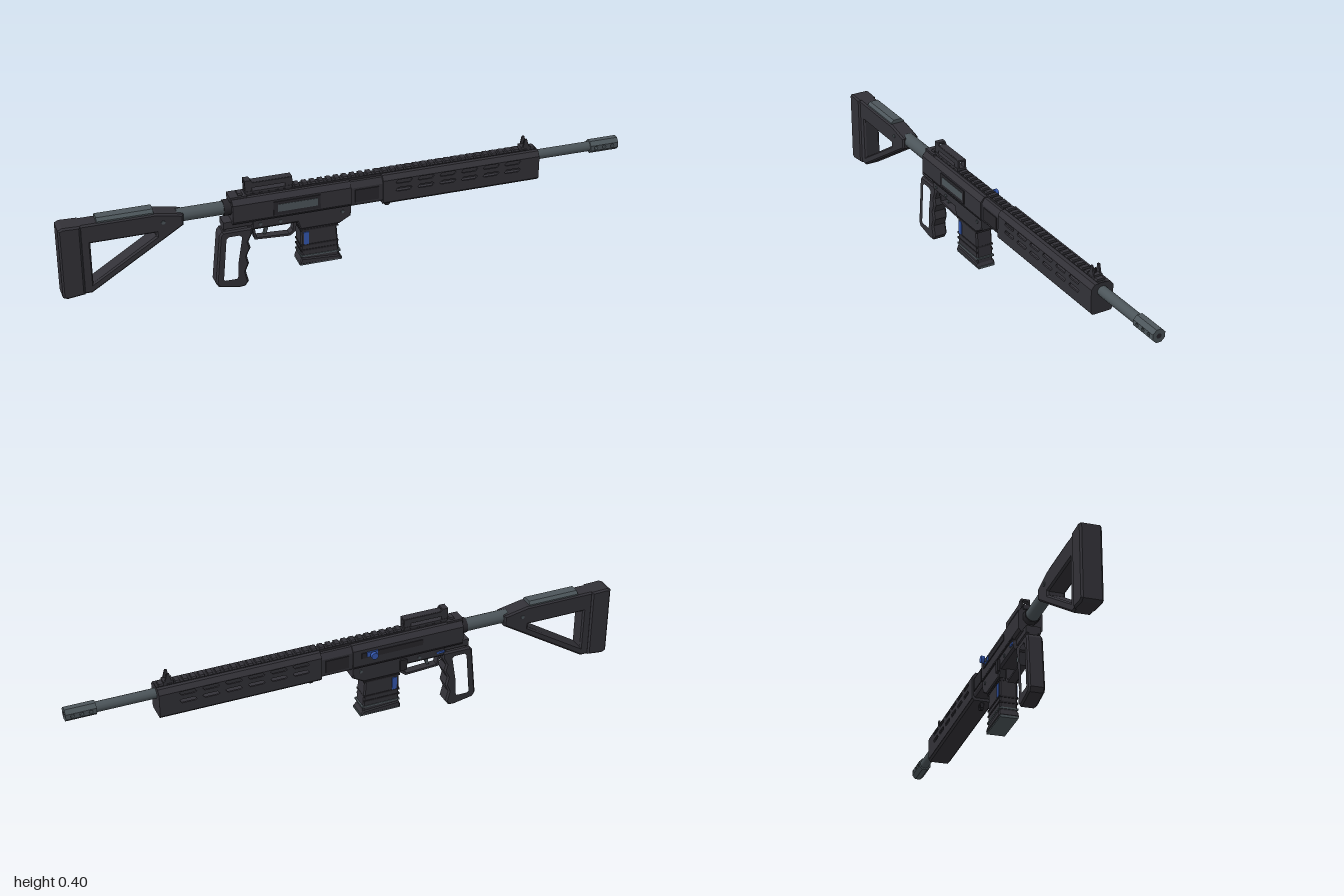
import * as THREE from 'three';

const dark = new THREE.MeshStandardMaterial({ color: 0x323137, name: 'darkPolymer' });
const black = new THREE.MeshStandardMaterial({ color: 0x27262b, name: 'blackMetal' });
const steel = new THREE.MeshStandardMaterial({ color: 0x4c555a, name: 'greySteel' });
const blue = new THREE.MeshStandardMaterial({ color: 0x3458b0, name: 'blueControls' });

const shapeOf = (pts) => new THREE.Shape(pts.map(([a, b]) => new THREE.Vector2(a, b)));
const pathOf = (pts) => new THREE.Path(pts.map(([a, b]) => new THREE.Vector2(a, b)));

export function createModel() {
  const model = new THREE.Group();
  // Everything is symmetric about a centre plane slightly in front of z = 0
  const body = new THREE.Group();
  body.name = 'rifle';
  body.position.z = 0.01;
  model.add(body);

  const add = (name, geo, mat, x = 0, y = 0, z = 0) => {
    const m = new THREE.Mesh(geo, mat);
    m.name = name;
    m.position.set(x, y, z);
    body.add(m);
    return m;
  };
  // Box given by its x and y ranges, centre z and depth
  const box = (name, x0, x1, y0, y1, d, mat = dark, z = 0) =>
    add(name, new THREE.BoxGeometry(x1 - x0, y1 - y0, d), mat, (x0 + x1) / 2, (y0 + y1) / 2, z);
  // Side outline extruded across z, with optional holes and bevelled edges
  const plate = (name, pts, d, mat = dark, holes = [], bevel = 0, z = 0) => {
    const s = shapeOf(pts);
    holes.forEach((h) => s.holes.push(h instanceof THREE.Path ? h : pathOf(h)));
    const g = new THREE.ExtrudeGeometry(s, {
      depth: d - 2 * bevel, bevelEnabled: bevel > 0, bevelSize: bevel, bevelThickness: bevel,
      bevelOffset: -bevel, bevelSegments: 1, curveSegments: 5,
    });
    g.translate(0, 0, z - d / 2 + bevel);
    return add(name, g, mat);
  };
  // Symmetric cross-section (half width, y) extruded along x
  const prism = (name, half, x0, x1, mat = dark) => {
    const pts = [...half, ...half.slice().reverse().map(([w, y]) => [-w, y])];
    const g = new THREE.ExtrudeGeometry(shapeOf(pts), { depth: x1 - x0, bevelEnabled: false });
    g.rotateY(Math.PI / 2);
    return add(name, g, mat, x0);
  };
  // Cylinder along x
  const rod = (name, x0, x1, y, r, mat, sides = 12) => {
    const g = new THREE.CylinderGeometry(r, r, x1 - x0, sides);
    g.rotateY(Math.PI / sides).rotateZ(Math.PI / 2);
    return add(name, g, mat, (x0 + x1) / 2, y);
  };

  // Shoulder stock
  plate('buttPad', [[-1, 0.08], [-0.985, 0.073], [-0.925, 0.08], [-0.925, 0.34], [-0.985, 0.342], [-1, 0.335]], 0.072, dark, [], 0.006);
  plate('stockFrame',
    [[-0.93, 0.08], [-0.9, 0.08], [-0.58, 0.282], [-0.58, 0.322], [-0.67, 0.34], [-0.93, 0.34]], 0.062, dark,
    [[[-0.895, 0.115], [-0.895, 0.268], [-0.675, 0.268], [-0.675, 0.255]]], 0.006);
  prism('cheekRest', [[0.026, 0.336], [0.026, 0.344], [0.016, 0.354]], -0.87, -0.68, steel);
  for (const s of [-1, 1]) {
    const pin = add('stockPin', new THREE.CylinderGeometry(0.007, 0.007, 0.004, 8), steel, -0.65, 0.305, s * 0.032);
    pin.rotation.x = Math.PI / 2;
  }
  rod('bufferTube', -0.6, -0.41, 0.307, 0.024, steel);
  rod('tubeCollar', -0.44, -0.41, 0.307, 0.028, black, 8);

  // Receiver
  prism('upperReceiver', [[0.034, 0.255], [0.041, 0.265], [0.041, 0.328], [0.026, 0.345]], -0.415, 0);
  prism('lowerReceiver', [[0.03, 0.222], [0.037, 0.23], [0.037, 0.262]], -0.345, 0);
  box('receiverRearTang', -0.445, -0.33, 0.237, 0.262, 0.05);
  plate('magazineWell', [[-0.19, 0.225], [-0.18, 0.195], [-0.04, 0.195], [0, 0.218], [0, 0.235], [-0.19, 0.235]], 0.074, dark, [], 0.004);
  box('rearTopBlock', -0.42, -0.36, 0.335, 0.352, 0.05);
  box('portFrame', -0.275, -0.11, 0.272, 0.322, 0.008, black, 0.041);
  box('ejectionPort', -0.26, -0.12, 0.284, 0.312, 0.006, steel, 0.0435);
  box('boltSlot', -0.26, -0.03, 0.295, 0.316, 0.006, black, -0.041);
  box('boltCatch', -0.2, -0.175, 0.21, 0.252, 0.008, black, -0.042);
  box('receiverSeam', -0.345, 0, 0.259, 0.263, 0.083, black);

  // Bolt handle
  const handle = (name, r, z0, z1, mat) => {
    const h = add(name, new THREE.CylinderGeometry(r, r, z1 - z0, 10), mat, -0.07, 0.309, (z0 + z1) / 2);
    h.rotation.x = Math.PI / 2;
  };
  handle('boltHandleStem', 0.007, -0.055, -0.035, steel);
  handle('boltHandleKnob', 0.013, -0.066, -0.054, blue);
  box('boltCarrier', -0.09, -0.05, 0.3, 0.317, 0.006, blue, -0.043);

  // Selector levers and pins
  box('selectorLever', -0.345, -0.315, 0.24, 0.248, 0.008, blue, -0.037);
  for (const [x, y] of [[-0.32, 0.243], [-0.25, 0.242], [-0.03, 0.24]]) {
    const p = add('receiverPin', new THREE.CylinderGeometry(0.006, 0.006, 0.08, 8), steel, x, y);
    p.rotation.x = Math.PI / 2;
  }

  // Open-frame grip
  plate('grip',
    [[-0.46, 0.215], [-0.45, 0.228], [-0.345, 0.228], [-0.345, 0.205], [-0.36, 0.175], [-0.353, 0.15],
      [-0.367, 0.12], [-0.36, 0.09], [-0.372, 0.06], [-0.362, 0.02], [-0.375, 0.002], [-0.395, 0],
      [-0.468, 0.014], [-0.478, 0.03]],
    0.056, dark,
    [[[-0.457, 0.04], [-0.443, 0.2], [-0.432, 0.212], [-0.39, 0.212], [-0.376, 0.2], [-0.392, 0.1], [-0.394, 0.045], [-0.4, 0.032], [-0.448, 0.032]]], 0.006);
  box('gripMountRear', -0.445, -0.435, 0.22, 0.245, 0.03);
  box('gripMountFront', -0.36, -0.34, 0.215, 0.245, 0.04);

  // Trigger and guard
  plate('triggerGuard', [[-0.345, 0.225], [-0.335, 0.172], [-0.21, 0.165], [-0.19, 0.18], [-0.185, 0.228]], 0.028, dark,
    [[[-0.335, 0.222], [-0.328, 0.179], [-0.213, 0.173], [-0.2, 0.184], [-0.196, 0.222]]]);
  plate('trigger', [[-0.305, 0.225], [-0.298, 0.2], [-0.302, 0.183], [-0.293, 0.183], [-0.286, 0.2], [-0.285, 0.225]], 0.012, steel);

  // Magazine
  plate('magazine', [[-0.178, 0.21], [-0.05, 0.21], [-0.04, 0.065], [-0.176, 0.065]], 0.062, dark, [], 0.005);
  plate('magazineBase', [[-0.183, 0.06], [-0.176, 0.078], [-0.042, 0.07], [-0.03, 0.054], [-0.18, 0.054]], 0.07, dark, [], 0.004);
  box('magazineBand', -0.179, -0.036, 0.083, 0.089, 0.066, steel);
  box('magazineFloor', -0.182, -0.03, 0.05, 0.058, 0.064, steel);
  for (const y of [0.105, 0.125, 0.185]) box('magazineRib', -0.179, -0.044, y, y + 0.006, 0.066, black);
  for (const s of [-1, 1]) box('magazineIndicator', -0.167, -0.15, 0.132, 0.18, 0.006, blue, s * 0.031);

  // Barrel neck between receiver and handguard
  prism('barrelNut', [[0.03, 0.252], [0.036, 0.262], [0.036, 0.322], [0.024, 0.342]], 0, 0.12);
  box('neckPanel', 0.015, 0.1, 0.268, 0.315, 0.078, black);

  // Hollow handguard with two rows of slanted slots
  const slots = [];
  for (let i = 0; i < 6; i++) {
    for (const y of [0.293, 0.323]) {
      const x = 0.16 + i * 0.08;
      slots.push([[x, y - 0.003], [x + 0.006, y - 0.007], [x + 0.052, y - 0.007], [x + 0.06, y + 0.003], [x + 0.054, y + 0.007], [x + 0.008, y + 0.007]]);
    }
  }
  for (const s of [-1, 1]) {
    plate('handguardSide', [[0.115, 0.25], [0.69, 0.25], [0.69, 0.333], [0.115, 0.333]], 0.006, dark, slots, 0, s * 0.038);
  }
  prism('handguardTop', [[0.041, 0.333], [0.028, 0.349]], 0.115, 0.69);
  prism('handguardBottom', [[0.034, 0.242], [0.041, 0.252]], 0.115, 0.69);
  box('handguardRearWall', 0.115, 0.121, 0.25, 0.335, 0.074);
  box('handguardFrontWall', 0.684, 0.69, 0.25, 0.335, 0.074);
  plate('slingLoop', [[0.128, 0.245], [0.13, 0.224], [0.137, 0.218], [0.146, 0.218], [0.153, 0.224], [0.155, 0.245]], 0.012, black,
    [[[0.136, 0.24], [0.137, 0.228], [0.146, 0.228], [0.147, 0.24]]]);

  // Toothed top rail
  box('railBase', -0.41, 0.69, 0.342, 0.351, 0.028, black);
  for (let x = -0.39; x < 0.67; x += 0.0285) {
    prism('railTooth', [[0.015, 0.35], [0.017, 0.354], [0.013, 0.359]], x, x + 0.016);
  }

  // Rear sight housing, open along its length and at the sides
  for (const s of [-1, 1]) {
    plate('rearSightWall', [[-0.365, 0.355], [-0.365, 0.402], [-0.345, 0.402], [-0.338, 0.392], [-0.2, 0.392], [-0.2, 0.355]], 0.006, dark,
      [[[-0.34, 0.362], [-0.34, 0.374], [-0.225, 0.374], [-0.225, 0.362]]], 0, s * 0.0125);
  }
  box('rearSightRoof', -0.345, -0.2, 0.387, 0.393, 0.026);
  box('rearSightBridge', -0.365, -0.345, 0.395, 0.402, 0.026);
  box('rearSightBase', -0.365, -0.2, 0.354, 0.362, 0.034);

  // Front sight
  box('frontSightBase', 0.63, 0.665, 0.35, 0.366, 0.03);
  box('frontSightPost', 0.645, 0.651, 0.36, 0.382, 0.005, black);
  for (const s of [-1, 1]) {
    plate('frontSightEar', [[0.637, 0.36], [0.643, 0.394], [0.651, 0.394], [0.66, 0.36]], 0.006, dark, [], 0, s * 0.0125);
  }

  // Barrel and muzzle brake with cross-drilled ports
  rod('barrel', 0.685, 0.9, 0.32, 0.018, steel);
  const c = 0.32, r = 0.0225, k = 0.0095;
  const ports = [0.915, 0.946, 0.977].map((x) => new THREE.Path().absarc(x, c, 0.0068, 0, Math.PI * 2, true));
  plate('muzzleMiddle', [[0.895, c - k], [1, c - k], [1, c + k], [0.895, c + k]], 2 * r, steel, ports);
  prism('muzzleTop', [[r, c + k], [k, c + r]], 0.895, 1, steel);
  prism('muzzleBottom', [[k, c - r], [r, c - k]], 0.895, 1, steel);
  rod('muzzleBore', 0.998, 1.0005, c, 0.009, black);

  return model;
}
